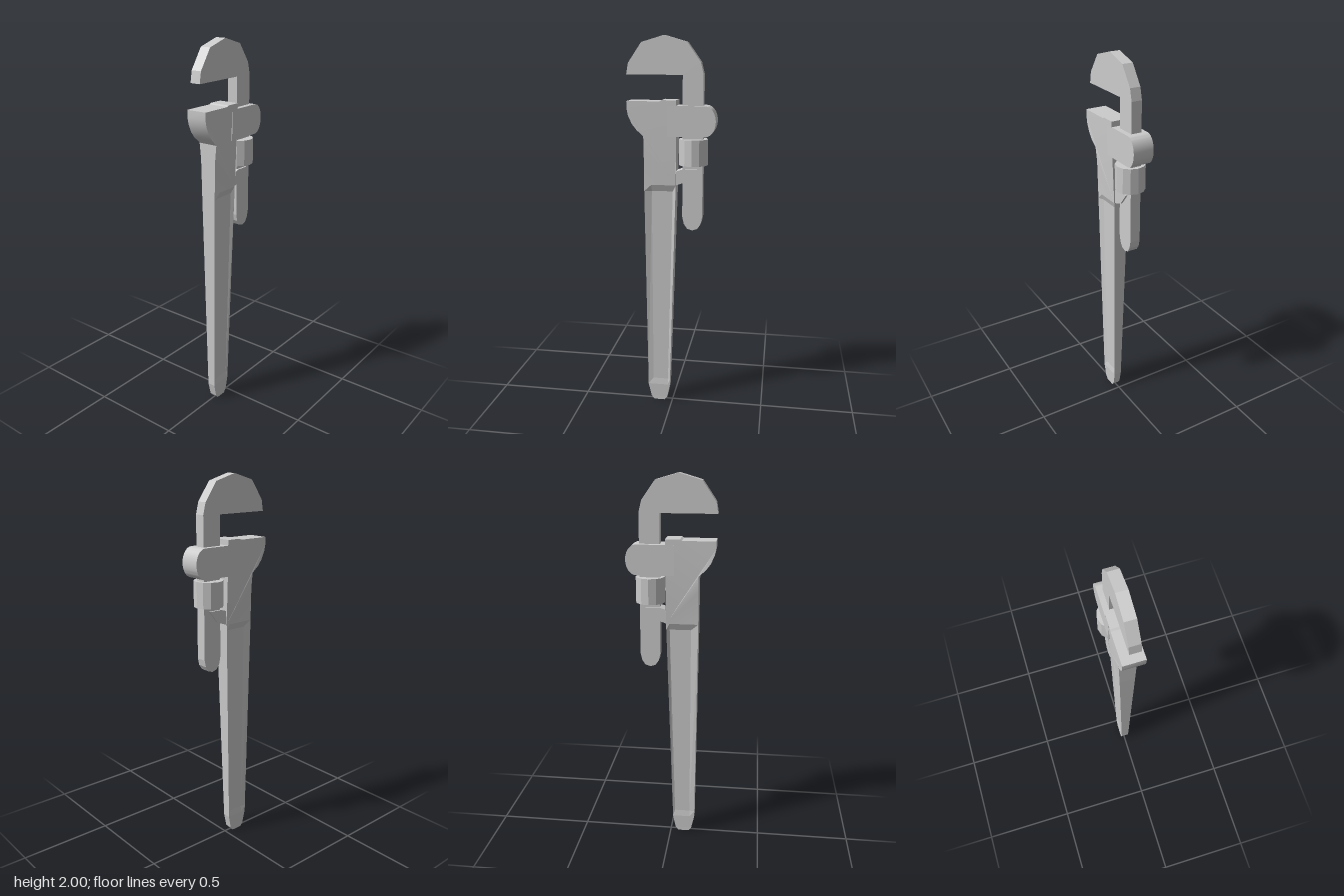
import * as THREE from 'three';
import { toCreasedNormals } from 'three/addons/utils/BufferGeometryUtils.js';

const material = new THREE.MeshStandardMaterial({ color: 0xcccccc });

function add(group, name, geometry) {
  const mesh = new THREE.Mesh(geometry, material);
  mesh.name = name;
  group.add(mesh);
  return mesh;
}

// Side profile given as (z, y), extruded symmetrically across x
function plate(shape, halfWidth) {
  const g = new THREE.ExtrudeGeometry(shape, { depth: 2 * halfWidth, bevelEnabled: false, curveSegments: 12 });
  g.translate(0, 0, -halfWidth);
  g.rotateY(-Math.PI / 2);
  return g;
}

const outline = (points) => new THREE.Shape(points.map(([z, y]) => new THREE.Vector2(z, y)));

// Tapered handle: sections from top to bottom, with a shallow recess in each side
function handleGeometry() {
  // y, front z, back z, half width, recess depth
  const levels = [
    [1.246, 0.145, -0.022, 0.041, 0],
    [1.212, 0.145, -0.021, 0.0405, 0.012],
    [0.13, 0.135, 0.012, 0.022, 0.005],
    [0.095, 0.135, 0.013, 0.0215, 0],
    [0.02, 0.118, 0.028, 0.02, 0],
    [0, 0.102, 0.044, 0.02, 0],
  ];
  const pos = [];
  const index = [];
  for (const [y, f, b, w, d] of levels) {
    const inF = f - (f - b) * 0.23;
    const inB = b + (f - b) * 0.1;
    const half = [[w, f], [w - d, inF], [w - d, inB], [w, b]];
    for (const [x, z] of half) pos.push(x, y, z);
    for (const [x, z] of half.reverse()) pos.push(-x, y, z);
  }
  const n = 8;
  for (let k = 0; k < levels.length - 1; k++) {
    for (let i = 0; i < n; i++) {
      const a = k * n + i, b = k * n + (i + 1) % n;
      index.push(a + n, b + n, b, a + n, b, a);
    }
  }
  // End caps
  const last = (levels.length - 1) * n;
  for (let i = 1; i < n - 1; i++) {
    index.push(0, i, i + 1, last, last + i + 1, last + i);
  }
  const g = new THREE.BufferGeometry();
  g.setAttribute('position', new THREE.Float32BufferAttribute(pos, 3));
  g.setIndex(index);
  const flat = g.toNonIndexed();
  flat.computeVertexNormals();
  return flat;
}

export function createModel() {
  const group = new THREE.Group();
  group.name = 'pipeWrench';

  // Hook jaw with its long shank
  add(group, 'hookJaw', plate(outline([
    [0.235, 1.807], [0.225, 1.865], [0.156, 1.966], [0.04, 2], [-0.077, 1.966], [-0.145, 1.87],
    [-0.16, 1.81], [-0.16, 1.077], [-0.152, 1.04], [-0.135, 1.014], [-0.108, 1.005],
    [-0.08, 1.014], [-0.063, 1.04], [-0.055, 1.077], [-0.055, 1.807],
  ]), 0.028));

  // Fixed jaw and neck, narrowing below the jaw
  const head = plate(outline([
    [0.23, 1.677], [0.23, 1.64], [0.223, 1.605], [0.204, 1.563], [0.18, 1.532], [0.145, 1.5],
    [0.145, 1.42], [0.145, 1.246], [-0.022, 1.246], [-0.025, 1.42], [-0.025, 1.5], [-0.025, 1.683], [0.05, 1.683], [0.06, 1.677],
  ]), 1);
  const p = head.attributes.position;
  for (let i = 0; i < p.count; i++) {
    const y = p.getY(i);
    const w = y > 1.51 ? 0.056 : y > 1.45 ? 0.053 : y > 1.3 ? 0.045 : 0.041;
    p.setX(i, Math.sign(p.getX(i)) * w);
  }
  head.computeVertexNormals();
  add(group, 'fixedJaw', toCreasedNormals(head, 0.5));

  // Rounded housing around the shank
  const housing = new THREE.Shape();
  housing.moveTo(0.02, 1.5);
  housing.lineTo(0.02, 1.655);
  housing.lineTo(-0.172, 1.655);
  housing.absellipse(-0.172, 1.5775, 0.055, 0.0775, Math.PI / 2, Math.PI * 1.5, false, 0);
  housing.closePath();
  add(group, 'housing', toCreasedNormals(plate(housing, 0.0555), 0.5));

  // Small spur supporting the adjusting nut
  add(group, 'spur', plate(outline([
    [0, 1.246], [-0.022, 1.246], [-0.08, 1.267], [-0.13, 1.33], [-0.055, 1.33], [-0.025, 1.32], [0, 1.32],
  ]), 0.038));

  // Twelve-sided adjusting nut
  const nut = add(group, 'adjustingNut', new THREE.CylinderGeometry(0.076, 0.076, 0.134, 12).toNonIndexed());
  nut.geometry.computeVertexNormals();
  nut.position.set(0, 1.418, -0.108);

  add(group, 'handle', handleGeometry());
  return group;
}
